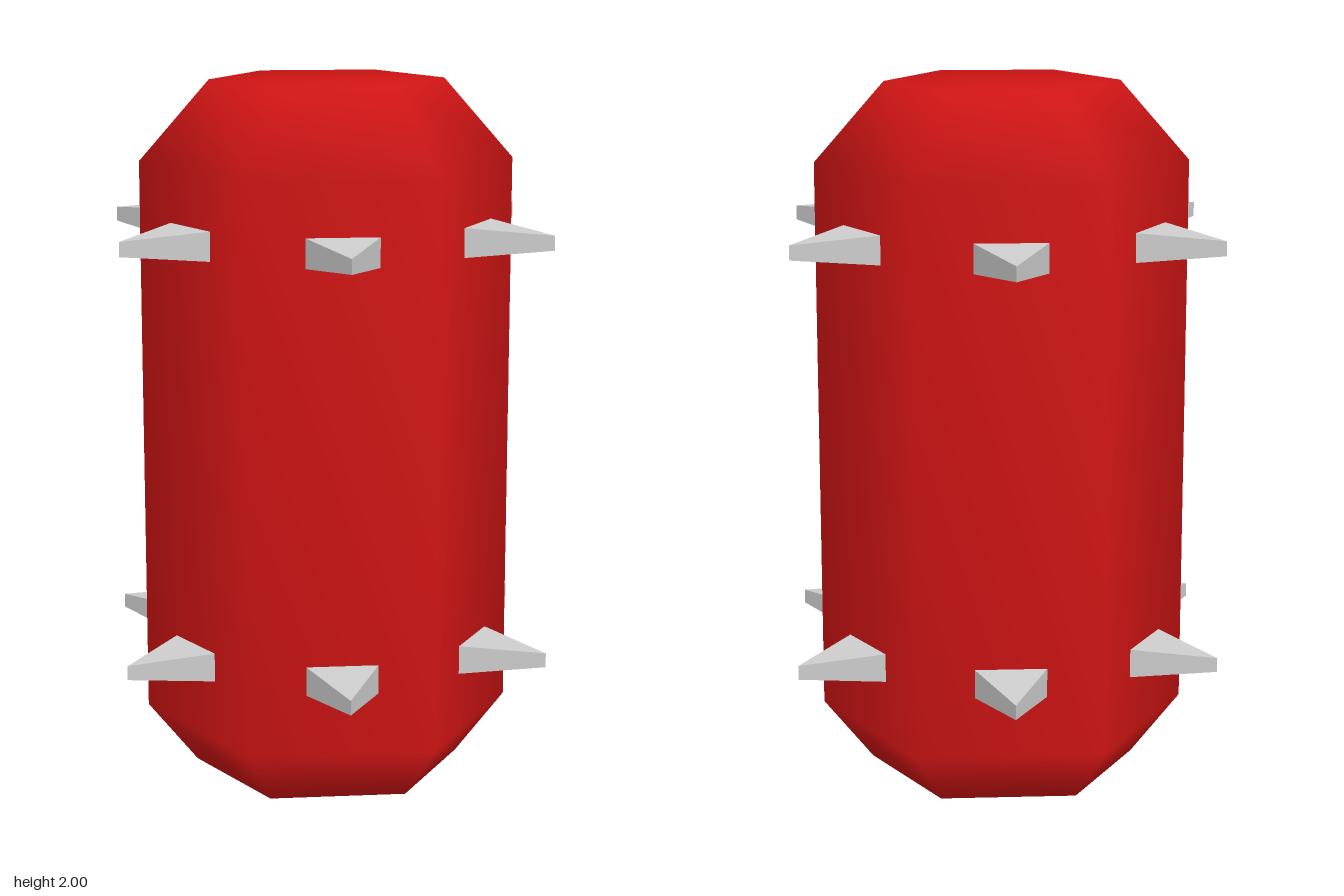
import * as THREE from 'three';

const SIDES = 6;
const BODY_RADIUS = 0.527;
const APOTHEM = BODY_RADIUS * Math.cos(Math.PI / SIDES);

// Wedge spike: wide base at z = 0, narrowing to a short upright edge
function spikeGeometry(width, height, length) {
  const geometry = new THREE.BoxGeometry(width, height, length);
  geometry.translate(0, 0, length / 2);
  const pos = geometry.attributes.position;
  for (let i = 0; i < pos.count; i++) {
    if (pos.getZ(i) > length / 2) pos.setXY(i, 0, pos.getY(i) * 0.5);
  }
  geometry.computeVertexNormals();
  return geometry;
}

export function createModel() {
  const model = new THREE.Group();
  model.name = 'spikedCapsule';

  const red = new THREE.MeshStandardMaterial({ color: 0xd01414 });
  const grey = new THREE.MeshStandardMaterial({ color: 0xcccccc, flatShading: true });

  // Six-sided body with chamfered ends, smoothly shaded
  const profile = [
    [0, 0], [0.385, 0], [BODY_RADIUS, 0.175],
    [BODY_RADIUS, 1.775], [0.33, 2], [0, 2],
  ].map(([r, y]) => new THREE.Vector2(r, y));
  const body = new THREE.Mesh(new THREE.LatheGeometry(profile, SIDES, Math.PI / 2), red);
  body.name = 'body';
  model.add(body);

  // Two rings of spikes, one on the middle of each side
  const spike = spikeGeometry(0.2, 0.082, 0.224);
  for (const [ringName, y] of [['lowerSpikes', 0.39], ['upperSpikes', 1.58]]) {
    const ring = new THREE.Group();
    ring.name = ringName;
    for (let i = 0; i < SIDES; i++) {
      const angle = (i / SIDES) * Math.PI * 2;
      const mesh = new THREE.Mesh(spike, grey);
      mesh.name = 'spike';
      mesh.position.set(Math.sin(angle) * APOTHEM, y, Math.cos(angle) * APOTHEM);
      mesh.rotation.y = angle;
      ring.add(mesh);
    }
    model.add(ring);
  }

  return model;
}
